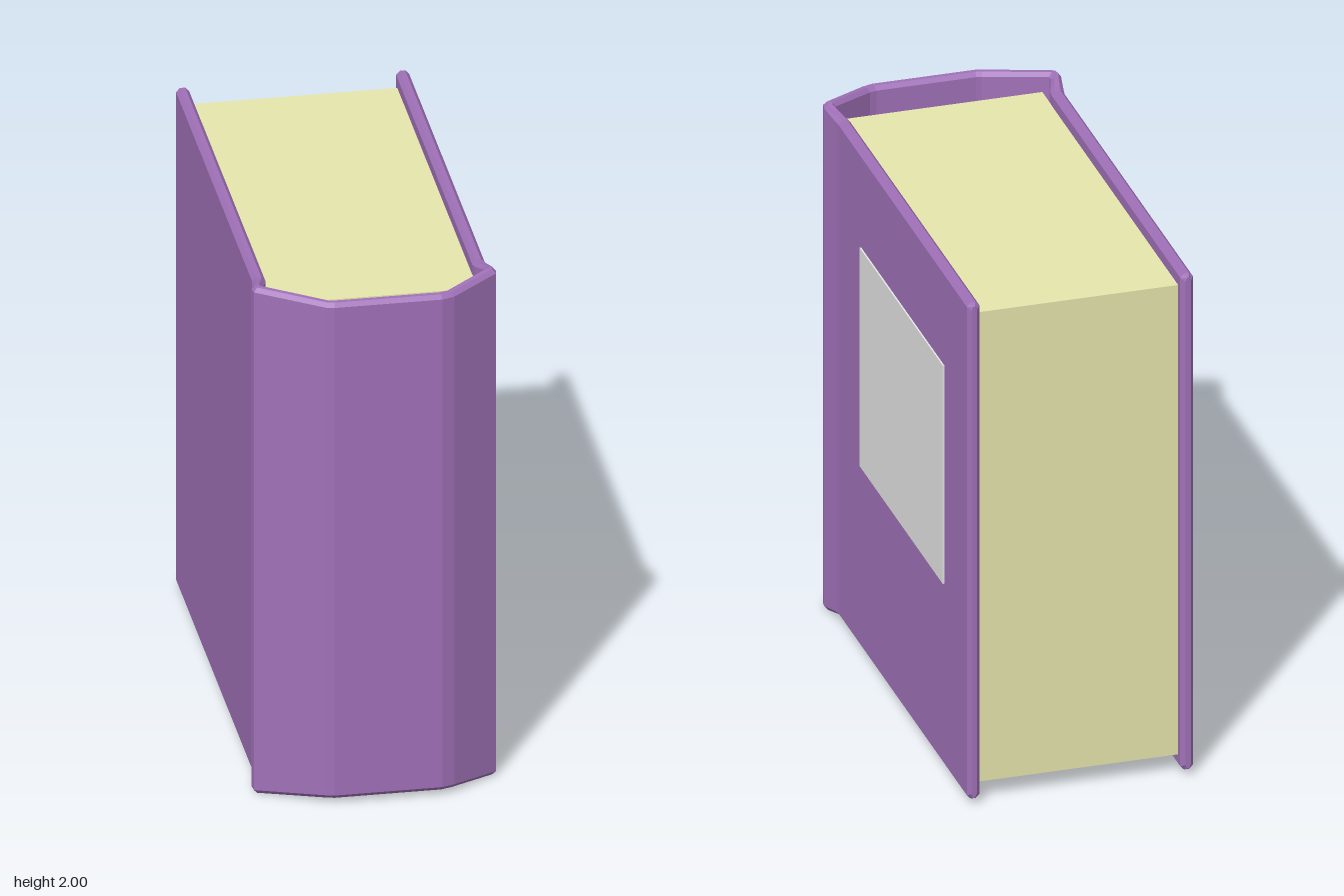
import * as THREE from 'three';

const purple = new THREE.MeshStandardMaterial({ name: 'purple cover', color: 0xa071b8 });
purple.flatShading = true;
const cream = new THREE.MeshStandardMaterial({ name: 'cream paper', color: 0xe6e6ad });
const pale = new THREE.MeshStandardMaterial({ name: 'pale label', color: 0xe6e6e6 });

// Sweeps a bevelled upright strip along rows of [outerX, outerZ, innerX, innerZ, rise]
function coverGeometry(rows) {
  const bevel = 0.015;
  const rings = rows.map(([ox, oz, ix, iz, rise]) => {
    const top = 1.98 + rise, bottom = 0.02 - rise;
    const at = (t, y) => [ox + (ix - ox) * t, y, oz + (iz - oz) * t];
    return [
      at(0, bottom + bevel), at(0, top - bevel), at(0.3, top), at(0.7, top),
      at(1, top - bevel), at(1, bottom + bevel), at(0.7, bottom), at(0.3, bottom),
    ];
  });
  const pos = [];
  const tri = (a, b, c) => pos.push(...a, ...b, ...c);
  for (let i = 0; i < rings.length - 1; i++) {
    for (let k = 0; k < 8; k++) {
      const n = (k + 1) % 8, p = rings[i], q = rings[i + 1];
      tri(p[k], q[k], q[n]);
      tri(p[k], q[n], p[n]);
    }
  }
  // end caps
  const first = rings[0], last = rings[rings.length - 1];
  for (let k = 1; k < 7; k++) {
    tri(first[0], first[k], first[k + 1]);
    tri(last[0], last[k + 1], last[k]);
  }
  const g = new THREE.BufferGeometry();
  g.setAttribute('position', new THREE.Float32BufferAttribute(pos, 3));
  g.computeVertexNormals();
  return g;
}

function box(name, material, x0, x1, y0, y1, z0, z1) {
  const mesh = new THREE.Mesh(new THREE.BoxGeometry(x1 - x0, y1 - y0, z1 - z0), material);
  mesh.position.set((x0 + x1) / 2, (y0 + y1) / 2, (z0 + z1) / 2);
  mesh.name = name;
  return mesh;
}

export function createModel() {
  const book = new THREE.Group();
  book.name = 'book';

  // one board from its free edge to the hinge ridge; the other is mirrored
  const board = [
    [0.407, -0.912, 0.388, -0.912, -0.01],
    [0.42, -0.895, 0.373, -0.895, 0],
    [0.42, 0.64, 0.373, 0.65, 0],
    [0.425, 0.67, 0.378, 0.675, 0.003],
    [0.44, 0.75, 0.4, 0.735, 0.018],
    [0.436, 0.775, 0.395, 0.75, 0.02],
  ];
  const left = board.map(([ox, oz, ix, iz, r]) => [-ox, oz, -ix, iz, r]);
  const spine = [
    [-0.2, 0.9, -0.18, 0.862, 0],
    [-0.17, 0.908, -0.16, 0.866, 0],
    [0.22, 0.908, 0.21, 0.866, 0],
    [0.265, 0.893, 0.235, 0.86, 0],
  ];
  const cover = new THREE.Mesh(coverGeometry([...left, ...spine, ...board.slice().reverse()]), purple);
  cover.name = 'cover';
  book.add(cover);

  // page block and label on the left board
  book.add(box('pages', cream, -0.374, 0.374, 0.07, 1.925, -0.87, 0.76));
  book.add(box('label', pale, 0.418, 0.426, 0.745, 1.608, -0.625, 0.37));
  return book;
}
